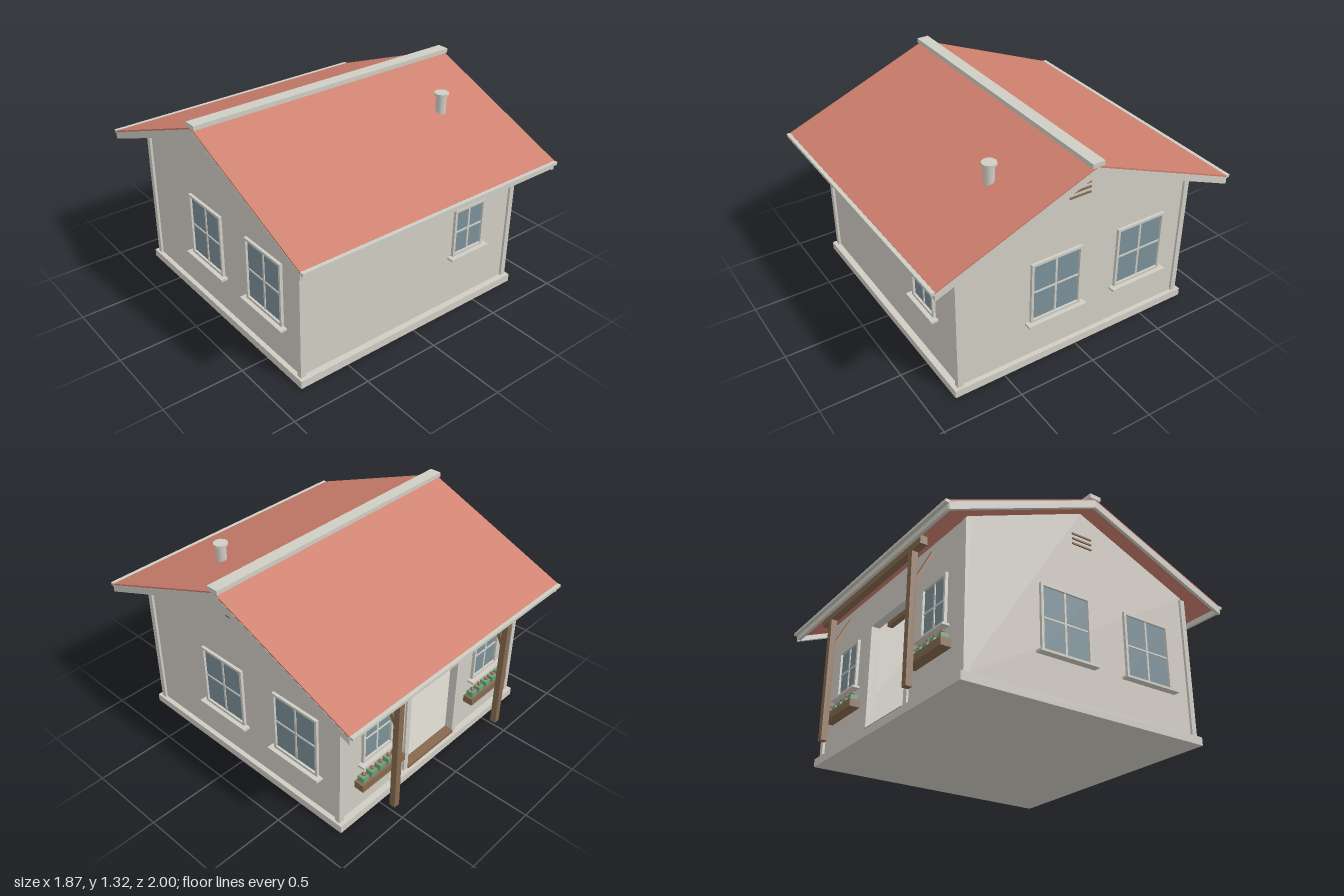
import * as THREE from 'three';

const mat = (name, color) => Object.assign(new THREE.MeshStandardMaterial({ color }), { name });

export function createModel() {
  const wall = mat('plaster', 0xd0ccc3);
  const trim = mat('trim', 0xcfcdc4);
  const roofRed = mat('roof red', 0xcd7f6d);
  const glass = mat('glass', 0x7b9098);
  const wood = mat('wood', 0x86694f);
  const leaf = mat('leaf', 0x6ba27a);
  const petal = mat('petal', 0xb85c4c);
  const house = new THREE.Group();
  house.name = 'cottage';

  const add = (name, geo, material, x = 0, y = 0, z = 0, parent = house) => {
    const m = new THREE.Mesh(geo, material);
    m.name = name;
    m.position.set(x, y, z);
    parent.add(m);
    return m;
  };
  // Box given by its centre and size
  const box = (name, material, x, y, z, w, h, d, parent = house) =>
    add(name, new THREE.BoxGeometry(w, h, d), material, x, y, z, parent);
  // Outline in (z, y), extruded along x and centred on it
  const profile = (name, material, pts, depth, x = 0) => {
    const shape = new THREE.Shape(pts.map(([a, b]) => new THREE.Vector2(a, b)));
    const geo = new THREE.ExtrudeGeometry(shape, { depth, bevelEnabled: false });
    geo.translate(0, 0, -depth / 2).rotateY(-Math.PI / 2);
    return add(name, geo, material, x);
  };
  const roofY = z => 1.3 - 0.405 * Math.abs(z);
  // Inverted V that follows the roof between two depths below its top
  const chevron = (zMax, top, bottom) => [
    [-zMax, roofY(zMax) - top], [-zMax, roofY(zMax) - bottom], [0, roofY(0) - bottom],
    [zMax, roofY(zMax) - bottom], [zMax, roofY(zMax) - top], [0, roofY(0) - top],
  ];

  // Base and walls
  box('base', wall, 0, 0.025, 0, 1.65, 0.05, 1.65);
  box('frontWall', wall, 0, 0.5, 0.765, 1.59, 0.9, 0.04);
  for (const s of [-1, 1]) {
    profile('gableWall', wall,
      [[-0.785, 0.05], [0.785, 0.05], [0.785, 0.955], [0, 1.275], [-0.785, 0.955]], 0.04, s * 0.775);
    box('skirting', wood, s * 0.75, 0.07, 0, 0.01, 0.04, 1.48);
    for (const t of [-1, 1])
      box('cornerBoard', trim, s * 0.793, 0.493, t * 0.783, 0.034, 0.886, 0.034);
    // Vent slats
    for (let i = 0; i < 3; i++)
      box('ventSlat', wood, s * 0.797, 1.047 + i * 0.033, 0, 0.012, 0.01, 0.14);
  }
  // Back wall with doorway
  const back = new THREE.Shape();
  [[-0.795, 0.05], [-0.215, 0.05], [-0.215, 0.72], [0.215, 0.72], [0.215, 0.05],
    [0.795, 0.05], [0.795, 0.95], [-0.795, 0.95]]
    .forEach(([x, y], i) => (i ? back.lineTo(x, y) : back.moveTo(x, y)));
  add('backWall', new THREE.ExtrudeGeometry(back, { depth: 0.04, bevelEnabled: false }), wall, 0, 0, -0.785);
  for (const s of [-1, 1]) box('doorTrim', trim, s * 0.233, 0.4, -0.785, 0.036, 0.7, 0.025);
  box('doorHead', trim, 0, 0.738, -0.785, 0.502, 0.036, 0.025);
  box('threshold', wood, 0, 0.06, -0.775, 0.43, 0.02, 0.06);

  // Roof with ceiling, barge boards, fascias, gutters and ridge cap
  profile('roof', roofRed, chevron(0.975, 0, 0.022), 1.86);
  profile('ceiling', wall, chevron(0.745, 0.0225, 0.03), 1.51);
  for (const s of [-1, 1]) {
    profile('bargeBoard', trim, chevron(0.978, 0.01, 0.056), 0.02, s * 0.921);
    box('fascia', trim, 0, 0.877, s * 0.97, 1.85, 0.042, 0.018);
    box('gutter', trim, 0, 0.896, s * 0.988, 1.86, 0.018, 0.024);
    box('purlin', wood, 0, roofY(0.4) - 0.06, s * 0.4, 1.5, 0.06, 0.04);
  }
  box('ridgeCap', trim, 0, 1.309, 0, 1.87, 0.028, 0.078);
  box('ridgeBeam', wood, 0, 1.23, 0, 1.5, 0.08, 0.04);

  // Flue pipe
  add('fluePipe', new THREE.CylinderGeometry(0.032, 0.032, 0.15, 10), trim, 0.53, 1.17, 0.41);
  add('flueCap', new THREE.CylinderGeometry(0.045, 0.045, 0.014, 10), trim, 0.53, 1.247, 0.41);

  // Window facing local +z, origin at its centre on the wall
  const windowUnit = (name, w, h, sillW, x, y, z, turn) => {
    const g = new THREE.Group();
    g.name = name;
    g.position.set(x, y, z);
    g.rotation.y = turn;
    house.add(g);
    const b = 0.016;
    box('pane', glass, 0, 0, 0.001, w - b, h - b, 0.006, g);
    for (const s of [-1, 1]) {
      box('frameSide', trim, s * (w - b) / 2, 0, 0.004, b, h, 0.028, g);
      box('frameRail', trim, 0, s * (h - b) / 2, 0.004, w - 2 * b, b, 0.028, g);
    }
    box('mullion', trim, 0, 0, 0.003, 0.013, h - 2 * b, 0.012, g);
    box('glazingBar', trim, 0, 0, 0.003, w - 2 * b, 0.011, 0.0118, g);
    box('sill', trim, 0, -h / 2 - 0.007, 0.02, sillW, 0.014, 0.05, g);
  };
  windowUnit('frontWindow', 0.245, 0.315, 0.3, 0.437, 0.54, 0.785, 0);
  for (const s of [-1, 1]) {
    for (const z of [0.143, -0.457])
      windowUnit('sideWindow', 0.345, 0.41, 0.4, s * 0.795, 0.502, s * z, s * Math.PI / 2);
    windowUnit('backWindow', 0.245, 0.315, 0.3, s * 0.5, 0.54, -0.785, Math.PI);

    // Flower box
    box('flowerBox', wood, s * 0.5, 0.258, -0.822, 0.36, 0.048, 0.066);
    for (let i = 0; i < 5; i++) {
      const x = s * 0.5 + (i - 2) * 0.07;
      box('leaves', leaf, x, 0.298, -0.82, 0.045, 0.036, 0.045);
      add('flower', new THREE.IcosahedronGeometry(0.014, 0), petal, x, 0.328, -0.822);
    }

    // Porch post with slanted brace
    box('porchPost', wood, s * 0.49, 0.445, -0.928, 0.04, 0.79, 0.038);
    const brace = box('brace', wood, s * 0.49, 0.762, -0.86, 0.026, 0.25, 0.024);
    brace.rotation.x = -Math.atan2(0.11, 0.22);
    brace.rotation.x *= -1;
  }
  box('porchBeam', wood, 0, 0.857, -0.928, 1.2, 0.05, 0.044);
  return house;
}
